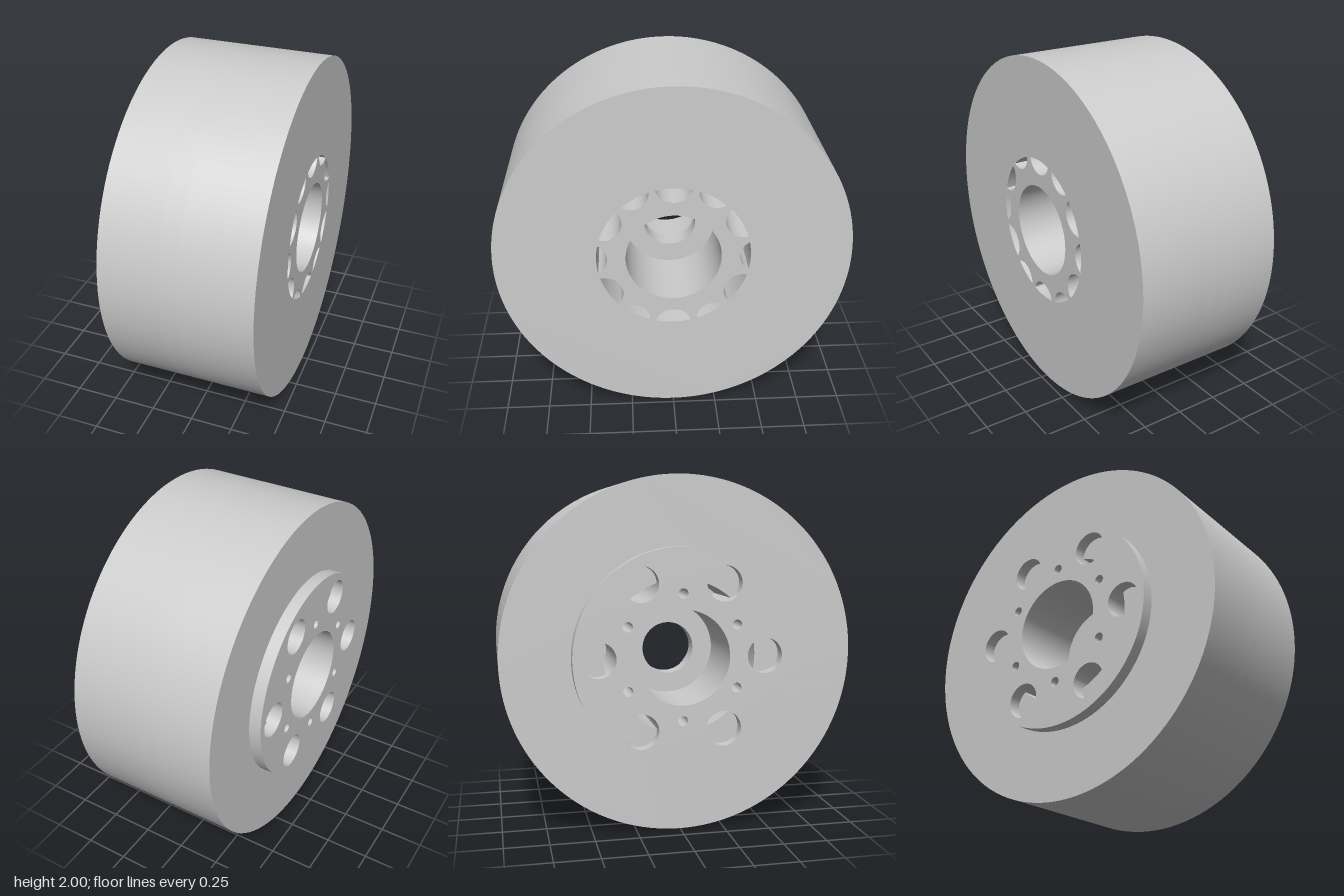
import * as THREE from 'three';
import { toCreasedNormals } from 'three/addons/utils/BufferGeometryUtils.js';

const TAU = Math.PI * 2;
const CORE_R = 0.43, BORE_R = 0.267, SHAFT_R = 0.152;
const material = new THREE.MeshStandardMaterial({ color: 0xcccccc });

// Circular hole at polar position (radius, angle)
function circle(r, radius = 0, angle = 0) {
  const p = new THREE.Path();
  p.absarc(radius * Math.cos(angle), radius * Math.sin(angle), r, 0, TAU, false);
  return p;
}

// Lens pocket: circle of radius r at distance c, clipped by the core circle
function lens(c, r, angle) {
  const a = (c * c + CORE_R * CORE_R - r * r) / (2 * c);
  const h = Math.sqrt(CORE_R * CORE_R - a * a);
  const phi = Math.atan2(h, a), theta = Math.atan2(h, a - c);
  const p = new THREE.Path();
  p.absarc(0, 0, CORE_R, angle - phi, angle + phi, false);
  p.absarc(c * Math.cos(angle), c * Math.sin(angle), r, angle + theta, angle + TAU - theta, false);
  return p;
}

// Disc with holes, extruded along x from x0 to x1
function disc(name, radius, x0, x1, holes) {
  const shape = new THREE.Shape();
  shape.absarc(0, 0, radius, 0, TAU, false);
  shape.holes.push(...holes);
  const geo = new THREE.ExtrudeGeometry(shape, { depth: x1 - x0, bevelEnabled: false, curveSegments: 72 });
  geo.rotateY(Math.PI / 2);
  geo.translate(x0, 1, 0);
  const mesh = new THREE.Mesh(toCreasedNormals(geo, 0.5), material);
  mesh.name = name;
  return mesh;
}

export function createModel() {
  const group = new THREE.Group();
  group.name = 'wheel';

  const boltHoles = [], rearPockets = [], screwHoles = [], outerPockets = [];
  for (let i = 0; i < 6; i++) {
    const a = i * TAU / 6, b = a + TAU / 12;
    boltHoles.push(circle(0.1, 0.47, a));
    rearPockets.push(lens(0.47, 0.1, a));
    screwHoles.push(circle(0.028, 0.355, b));
    outerPockets.push(lens(0.47, 0.1, a), lens(0.45, 0.105, b));
  }

  // Raised mounting flange, rear half, central web and outer half
  group.add(
    disc('mountingFlange', 0.61, -0.465, -0.395, [circle(BORE_R), ...boltHoles, ...screwHoles]),
    disc('innerHalf', 1, -0.395, -0.05, [circle(BORE_R), ...rearPockets, ...screwHoles]),
    disc('centreWeb', 1, -0.05, 0.05, [circle(SHAFT_R)]),
    disc('outerHalf', 1, 0.05, 0.465, [circle(BORE_R), ...outerPockets])
  );
  return group;
}
